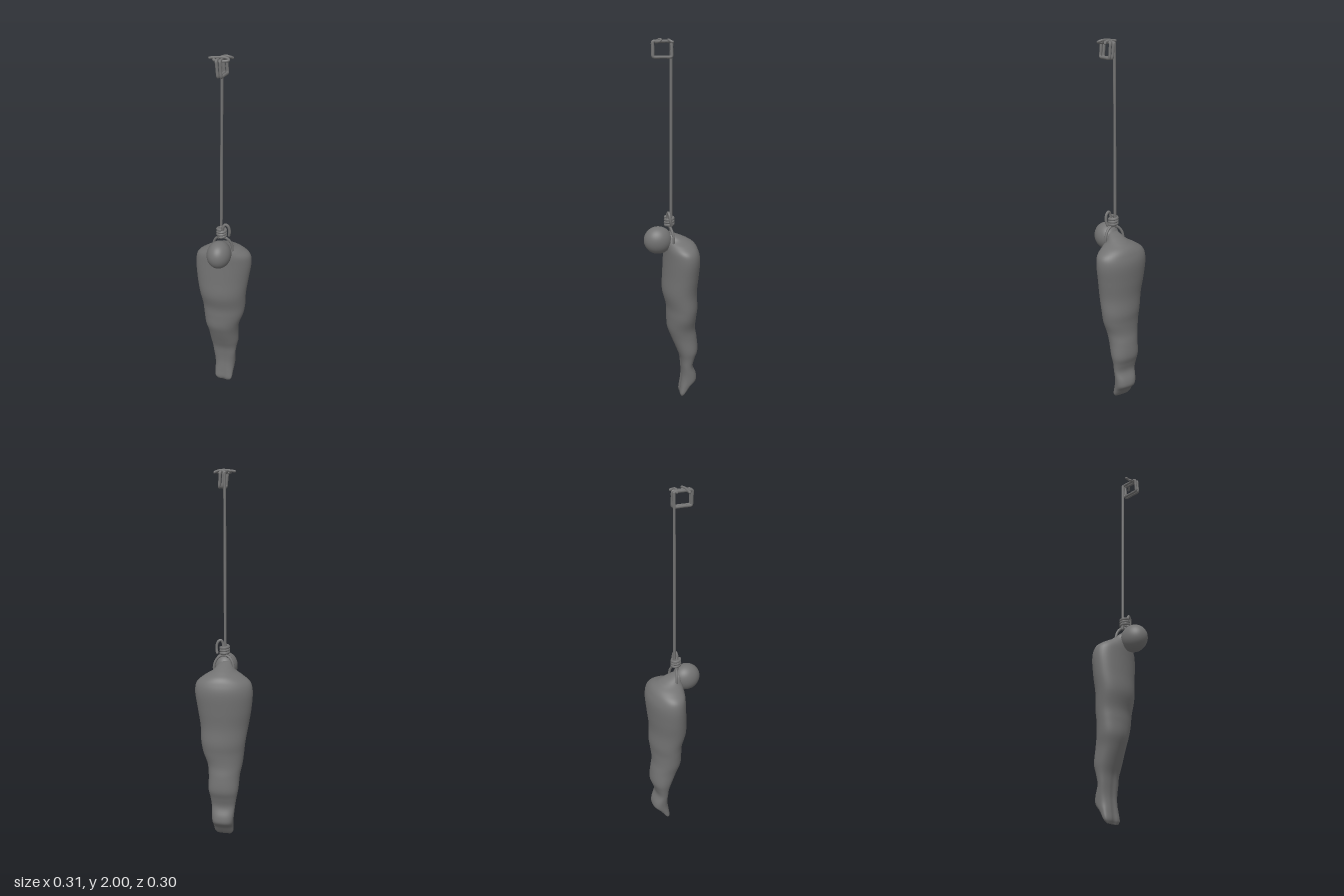
import * as THREE from 'three';

const material = new THREE.MeshStandardMaterial({ color: 0x727272 });
const V = (x, y, z) => new THREE.Vector3(x, y, z);

// Wrapped bundle sections: y, left edge x, right edge x, front z, back z
const SECTIONS = [
  [0.003, -0.042, 0.038, -0.052, -0.066],
  [0.02, -0.055, 0.049, -0.046, -0.08],
  [0.06, -0.059, 0.052, -0.05, -0.108],
  [0.1, -0.062, 0.055, -0.055, -0.143],
  [0.135, -0.065, 0.057, -0.058, -0.142],
  [0.19, -0.07, 0.061, -0.056, -0.122],
  [0.24, -0.078, 0.067, -0.05, -0.132],
  [0.29, -0.087, 0.077, -0.032, -0.148],
  [0.37, -0.092, 0.079, 0.0, -0.143],
  [0.43, -0.103, 0.088, 0.02, -0.133],
  [0.5, -0.111, 0.112, 0.023, -0.135],
  [0.56, -0.118, 0.122, 0.025, -0.141],
  [0.65, -0.132, 0.128, 0.046, -0.137],
  [0.75, -0.148, 0.141, 0.042, -0.145],
  [0.85, -0.154, 0.153, 0.037, -0.15],
  [0.895, -0.142, 0.146, 0.036, -0.14],
  [0.93, -0.098, 0.108, 0.036, -0.122],
  [0.955, -0.054, 0.064, 0.037, -0.087],
  [0.975, -0.034, 0.047, 0.04, -0.045],
  [0.992, -0.018, 0.032, 0.042, 0.0],
];

function bundleGeometry(rings = 96, sides = 48) {
  // Two curves carry the section edges smoothly between the rows
  const width = new THREE.CatmullRomCurve3(SECTIONS.map(s => V(s[1], s[0], s[2])));
  const depth = new THREE.CatmullRomCurve3(SECTIONS.map(s => V(s[3], s[0], s[4])));
  const pos = [], index = [];
  const power = (v, e) => Math.sign(v) * Math.abs(v) ** e;
  for (let i = 0; i <= rings; i++) {
    const w = width.getPoint(i / rings), d = depth.getPoint(i / rings);
    const cx = (w.x + w.z) / 2, rx = (w.z - w.x) / 2;
    const cz = (d.x + d.z) / 2, rz = (d.x - d.z) / 2;
    // Squarer toward the feet, with a shallow crease down the front
    const low = THREE.MathUtils.clamp(1 - w.y / 0.5, 0, 1);
    for (let j = 0; j < sides; j++) {
      const a = (j / sides) * Math.PI * 2, e = 1 - 0.26 * low;
      const x = cx + rx * power(Math.sin(a), e);
      const crease = 0.006 * low * Math.exp(-((x / 0.012) ** 2)) * Math.max(0, Math.cos(a));
      const turn = -0.12 * (x - cx) * (1 - low);
      pos.push(x, w.y, cz + rz * power(Math.cos(a), e) - crease + turn);
    }
  }
  for (let i = 0; i < rings; i++) {
    for (let j = 0; j < sides; j++) {
      const k = (j + 1) % sides;
      const a = i * sides + j, b = i * sides + k;
      index.push(a, b, a + sides, b, b + sides, a + sides);
    }
  }
  // Close both ends
  const first = SECTIONS[0], last = SECTIONS[SECTIONS.length - 1];
  const bottom = pos.length / 3, top = bottom + 1, r = rings * sides;
  pos.push((first[1] + first[2]) / 2, 0, (first[3] + first[4]) / 2);
  pos.push((last[1] + last[2]) / 2, last[0] + 0.004, (last[3] + last[4]) / 2);
  for (let j = 0; j < sides; j++) {
    const k = (j + 1) % sides;
    index.push(bottom, k, j, top, r + j, r + k);
  }
  const g = new THREE.BufferGeometry();
  g.setAttribute('position', new THREE.Float32BufferAttribute(pos, 3));
  g.setIndex(index);
  g.computeVertexNormals();
  return g;
}

export function createModel() {
  const model = new THREE.Group();
  const add = (name, geometry, parent = model) => {
    const mesh = new THREE.Mesh(geometry, material);
    mesh.name = name;
    parent.add(mesh);
    return mesh;
  };
  const group = name => {
    const g = new THREE.Group();
    g.name = name;
    model.add(g);
    return g;
  };
  // Rope along points, with rounded ends
  const rope = (name, points, parent, radius = 0.0065, closed = false) => {
    const curve = new THREE.CatmullRomCurve3(points, closed, 'catmullrom', 0.5);
    add(name, new THREE.TubeGeometry(curve, points.length * 8, radius, 8, closed), parent);
    if (closed) return;
    for (const p of [points[0], points[points.length - 1]]) {
      add(name + 'End', new THREE.SphereGeometry(radius, 8, 6), parent).position.copy(p);
    }
  };

  add('wrappedBody', bundleGeometry());

  // Head leaning forward over the chest
  const head = add('head', new THREE.SphereGeometry(1, 40, 28));
  head.scale.set(0.065, 0.075, 0.077);
  head.position.set(0.017, 0.953, 0.074);
  const neck = add('neck', new THREE.SphereGeometry(1, 28, 20));
  neck.scale.set(0.045, 0.042, 0.075);
  neck.position.set(0.012, 0.938, 0.0);
  neck.rotation.x = -0.35;

  // Long rope
  rope('hangingRope', [V(0.005, 1.06, 0.002), V(0.006, 1.5, 0.002), V(0.008, 1.98, 0.002)], model, 0.0075);

  // Loop round the neck, bowed back at mid height
  const ring = [];
  for (let i = 0; i < 16; i++) {
    const a = (i / 16) * Math.PI * 2, c = Math.cos(a);
    ring.push(V(0.012 + 0.054 * Math.sin(a), 0.96 + 0.068 * c, -0.004 + 0.014 * c * c));
  }
  rope('neckLoop', ring, model, 0.007, true);

  // Knot: stacked coils, a strand through them and a loose tail
  const knot = group('knot');
  const coil = [];
  for (let i = 0; i <= 36; i++) {
    const a = (i / 12) * Math.PI * 2;
    coil.push(V(0.01 + 0.021 * Math.sin(a), 1.035 + 0.0145 * (i / 12), 0.012 + 0.021 * Math.cos(a)));
  }
  rope('coil', coil, knot, 0.0085);
  rope('knotStrand', [V(-0.008, 1.02, 0.01), V(-0.004, 1.06, 0.016), V(0.006, 1.085, 0.012)], knot, 0.008);
  rope('looseTail', [V(0.018, 1.055, 0.02), V(0.022, 1.09, 0.024), V(0.034, 1.108, 0.02),
    V(0.05, 1.095, 0.016), V(0.055, 1.065, 0.012), V(0.05, 1.04, 0.006)], knot, 0.0075);

  // Square hitch at the top: two turns side by side with tight corners
  const hitch = group('topHitch');
  const corners = [[1.983, 0.002], [1.983, 0.096], [1.907, 0.096], [1.907, 0.002]];
  for (const [x, dx] of [[0.012, 0.008], [0.03, 0.006]]) {
    const turn = [];
    corners.forEach(([y, z], i) => {
      const [ny, nz] = corners[(i + 1) % 4];
      for (const t of [0.08, 0.36, 0.64, 0.92]) {
        const py = y + (ny - y) * t;
        turn.push(V(x + dx * (1.983 - py) / 0.076, py, z + (nz - z) * t));
      }
    });
    rope('squareTurn', turn, hitch, 0.0075, true);
  }
  // Tie across the turns
  rope('crossTie', [V(-0.032, 1.986, 0.064), V(0.0, 1.99, 0.064), V(0.025, 1.992, 0.062),
    V(0.05, 1.99, 0.058), V(0.064, 1.984, 0.066), V(0.056, 1.98, 0.076),
    V(0.025, 1.978, 0.08), V(-0.006, 1.98, 0.076), V(-0.008, 1.987, 0.062)], hitch);
  rope('sideTie', [V(0.008, 1.98, 0.016), V(0.03, 1.99, 0.018), V(0.05, 1.986, 0.014),
    V(0.06, 1.98, 0.002)], hitch);

  return model;
}
